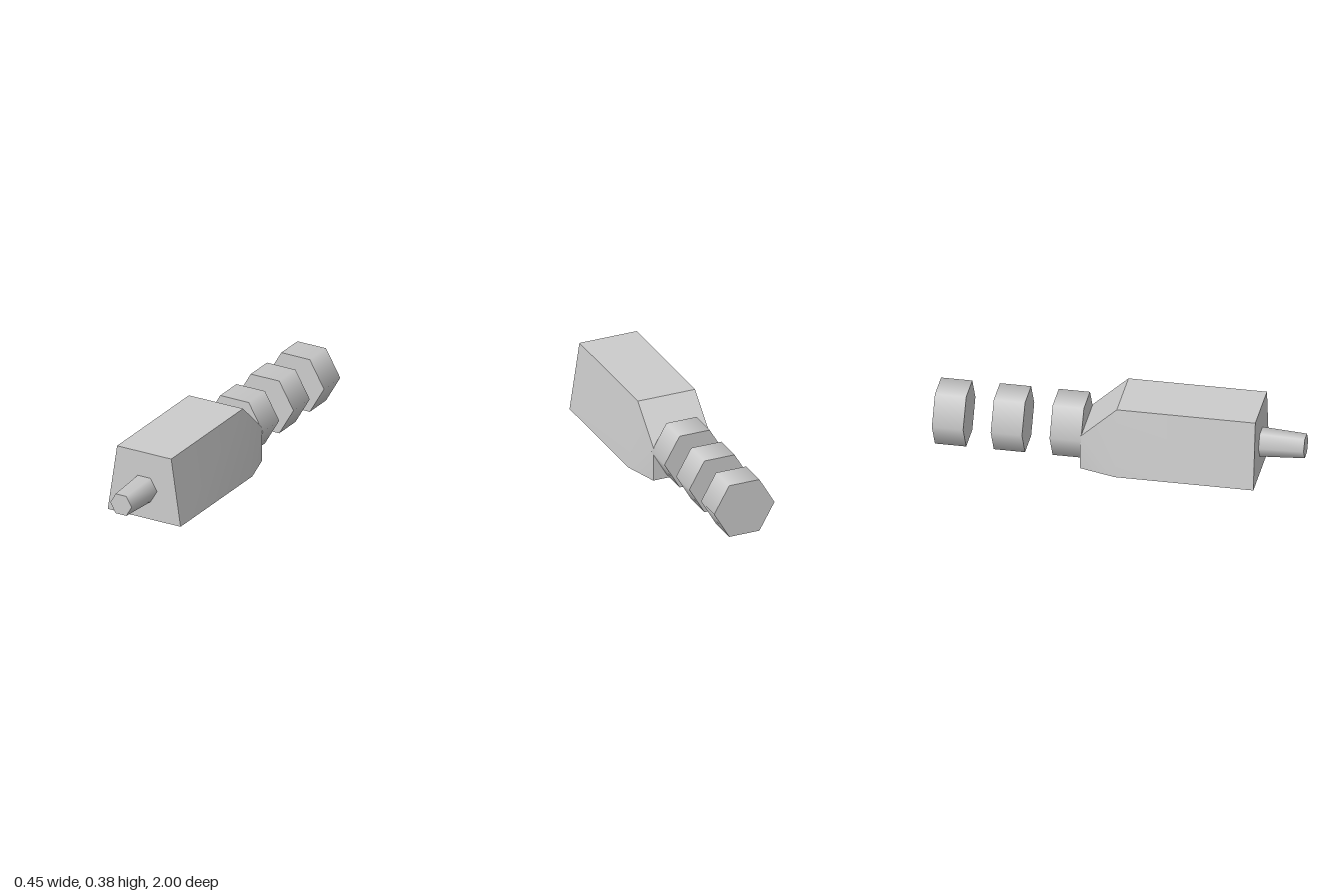
import * as THREE from 'three';
import { toCreasedNormals } from 'three/addons/utils/BufferGeometryUtils.js';

const AXIS_Y = 0.172;
const material = new THREE.MeshStandardMaterial({ color: 0xcccccc });

// Hexagonal prism along z, with its points at left and right
function hexPart(name, frontRadius, backRadius, zFront, zBack) {
  const geometry = new THREE.CylinderGeometry(frontRadius, backRadius, zFront - zBack, 6);
  geometry.rotateY(Math.PI / 2).rotateX(Math.PI / 2);
  const mesh = new THREE.Mesh(geometry, material);
  mesh.name = name;
  mesh.position.set(0, AXIS_Y, (zFront + zBack) / 2);
  return mesh;
}

// Trapezoid body lofted through three cross-sections, tapering at the back
function bodyGeometry() {
  // z, half width at bottom, half width at top, height
  const sections = [
    [0.757, 0.226, 0.168, 0.384],
    [0.004, 0.226, 0.168, 0.384],
    [-0.195, 0.168, 0.168, 0.197],
  ];
  const points = [];
  for (const [z, bottom, top, h] of sections) {
    points.push(-bottom, 0, z, bottom, 0, z, top, h, z, -top, h, z);
  }
  const index = [0, 1, 2, 0, 2, 3, 8, 10, 9, 8, 11, 10];
  for (let s = 0; s < 2; s++) {
    for (let k = 0; k < 4; k++) {
      const a = s * 4 + k, b = s * 4 + (k + 1) % 4, c = b + 4, d = a + 4;
      // mirrored diagonals on the two sides
      if (k === 3) index.push(a, d, b, b, d, c);
      else index.push(a, d, c, a, c, b);
    }
  }
  const geometry = new THREE.BufferGeometry();
  geometry.setAttribute('position', new THREE.Float32BufferAttribute(points, 3));
  geometry.setIndex(index);
  return toCreasedNormals(geometry, 0.6);
}

export function createModel() {
  const model = new THREE.Group();
  model.name = 'model';

  const body = new THREE.Mesh(bodyGeometry(), material);
  body.name = 'body';
  model.add(body);

  // Tapered nozzle at the front
  model.add(hexPart('nozzle', 0.066, 0.08, 1, 0.75));

  // Row of separate rings behind the body
  const rings = new THREE.Group();
  rings.name = 'rearRings';
  for (let i = 0; i < 3; i++) {
    const zBack = -0.36 - i * 0.32;
    rings.add(hexPart('rearRing' + (i + 1), 0.177, 0.177, zBack + 0.17, zBack));
  }
  model.add(rings);
  return model;
}
